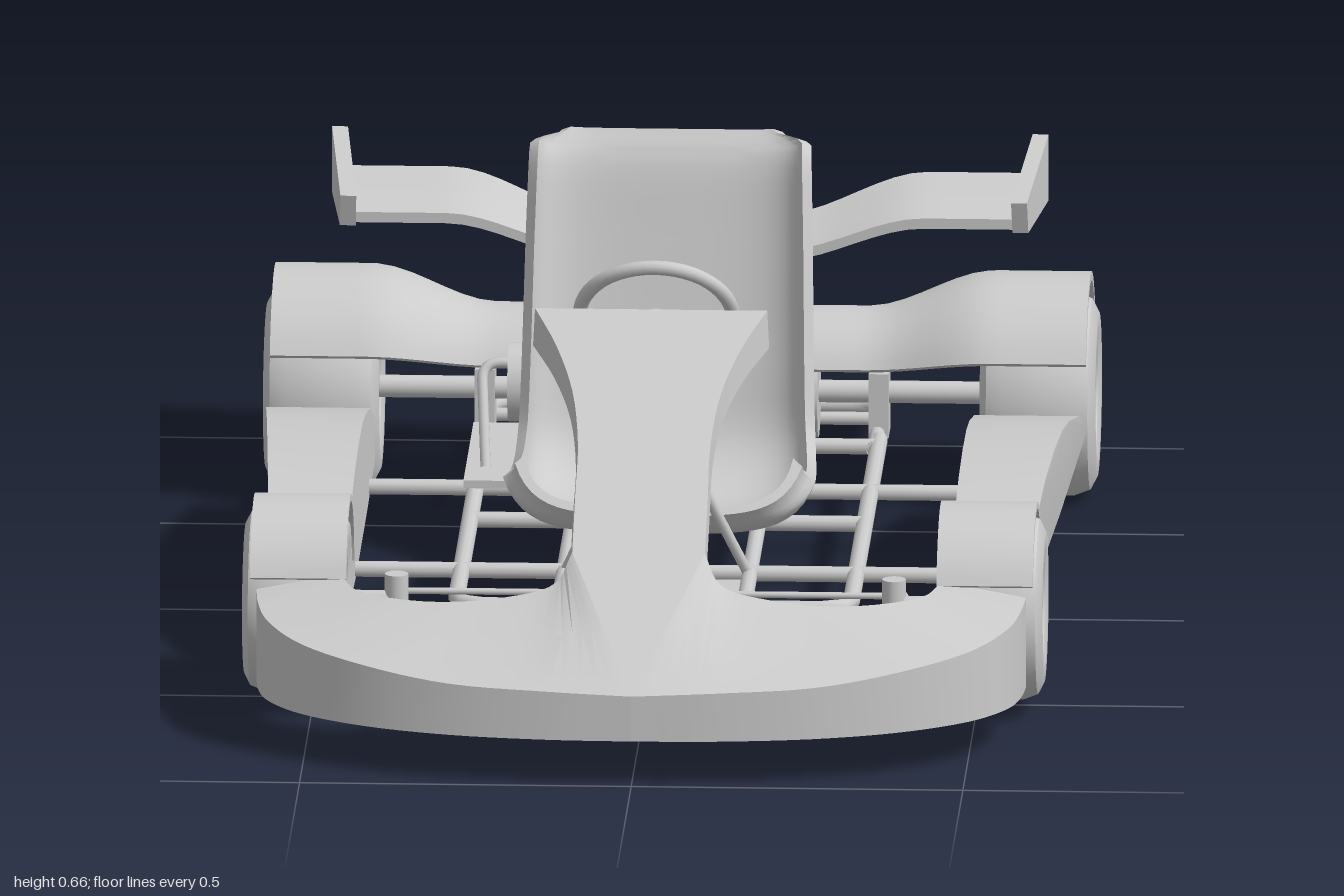
import * as THREE from 'three';
import { toCreasedNormals } from 'three/addons/utils/BufferGeometryUtils.js';

const mat = new THREE.MeshStandardMaterial({ color: 0xcccccc, side: THREE.DoubleSide });
const V = (x, y, z) => new THREE.Vector3(x, y, z);
const { lerp, smoothstep } = THREE.MathUtils;
const curve = pts => new THREE.CatmullRomCurve3(pts.map(p => V(...p)));
const outline = pts => new THREE.Shape(pts.map(p => new THREE.Vector2(...p)));
const axle = (r, len, n = 24) => new THREE.CylinderGeometry(r, r, len, n).rotateZ(Math.PI / 2);

// Skin over a grid of points
function loft(rows) {
  const n = rows[0].length, index = [];
  for (let i = 0; i < rows.length - 1; i++)
    for (let j = 0; j < n - 1; j++) {
      const a = i * n + j, b = a + n;
      index.push(a, b, a + 1, b, b + 1, a + 1);
    }
  const g = new THREE.BufferGeometry().setFromPoints(rows.flat());
  g.setIndex(index);
  return toCreasedNormals(g, 0.6);
}

// Closed thin body between face(0) and face(thickness), both surfaces of (u, v)
function shell(nu, nv, face, thickness) {
  const rows = [], outer = face(0), inner = face(thickness);
  for (let i = -1; i <= nu + 1; i++) {
    const u = Math.min(Math.max(i / nu, 0), 1), end = i < 0 || i > nu;
    const a = [], b = [];
    for (let j = 0; j <= nv; j++) {
      a.push(outer(u, j / nv));
      b.unshift((end ? outer : inner)(u, j / nv));
    }
    rows.push([...a, ...b, a[0].clone()]);
  }
  return loft(rows);
}

// Tube through points, with rounded corners
function pipe(pts, r = 0.012, bend = 0.05) {
  const p = pts.map(a => V(...a)), path = new THREE.CurvePath();
  let from = p[0];
  for (let i = 1; i < p.length - 1; i++) {
    const s = p[i].clone().add(p[i - 1].clone().sub(p[i]).setLength(bend));
    const e = p[i].clone().add(p[i + 1].clone().sub(p[i]).setLength(bend));
    path.add(new THREE.LineCurve3(from, s));
    path.add(new THREE.QuadraticBezierCurve3(s, p[i], e));
    from = e;
  }
  path.add(new THREE.LineCurve3(from, p[p.length - 1]));
  return new THREE.TubeGeometry(path, p.length > 2 ? 70 : 1, r, 10);
}

// Side outline in (z, y), extruded from x towards -x, then its x moved by a rule
function sidePlate(pts, x, depth, rule = x => x) {
  const g = new THREE.ExtrudeGeometry(outline(pts), { depth, bevelEnabled: false });
  g.rotateY(-Math.PI / 2).translate(x, 0, 0);
  const p = g.attributes.position;
  for (let i = 0; i < p.count; i++) p.setX(i, rule(p.getX(i), p.getY(i), p.getZ(i)));
  return toCreasedNormals(g, 0.4);
}

export function createModel() {
  const kart = new THREE.Group();
  kart.name = 'goKart';
  const add = (name, geo, x = 0, y = 0, z = 0, parent = kart) => {
    const m = new THREE.Mesh(geo, mat);
    m.name = name;
    m.position.set(x, y, z);
    parent.add(m);
    return m;
  };
  const addPair = (name, geo, x = 0, y = 0, z = 0) => {
    add(name + 'Left', geo, x, y, z);
    add(name + 'Right', geo, -x, y, z).scale.x = -1;
  };

  // Wheels: tyre and dished rim
  const tyre = [[.5, -.9], [.62, -1], [.8, -1], [.93, -.88], [.99, -.6], [1, 0], [.99, .6], [.93, .88], [.8, 1], [.62, 1], [.5, .9]];
  const rim = [[.16, -.5], [.44, -.4], [.5, -.9], [.53, -.95], [.53, .95], [.5, .9], [.44, .3], [.3, .22], [.27, .4], [.12, .45], [0, .45]];
  for (const [name, x, y, z, R, h] of [['front', .525, .16, .523, .142, .078], ['rear', .54, .155, -.735, .155, .087]])
    for (const [piece, profile] of [['Tyre', tyre], ['Rim', rim]]) {
      const g = new THREE.LatheGeometry(profile.map(([r, w]) => new THREE.Vector2(r * R, w * h)), 40);
      addPair(name + piece, toCreasedNormals(g.rotateZ(-Math.PI / 2), 0.7), x, y, z);
    }
  add('rearAxle', axle(.017, .98), 0, .155, -.735);
  add('brakeDisc', axle(.07, .012), .2, .155, -.735);
  add('sprocket', axle(.075, .012), -.22, .155, -.735);

  // Front fairing: curved bumper sweeping back to the wheels
  const outer = curve([[0, .14, 1], [.13, .145, .995], [.28, .15, .972], [.41, .165, .925], [.51, .18, .855],
    [.56, .195, .78], [.575, .205, .72], [.58, .21, .66]]);
  const inner = curve([[.1, .297, .75], [.125, .255, .775], [.2, .235, .785], [.3, .226, .782], [.38, .225, .755],
    [.43, .225, .71], [.445, .228, .67], [.45, .23, .64]]);
  const top = [], wall = [];
  for (let i = 0; i <= 36; i++) {
    const o = outer.getPoint(i / 36), n = inner.getPoint(i / 36);
    top.push([o, o.clone().lerp(n, .5), n, V(n.x, n.y - .02, n.z)]);
    wall.push([V(o.x, .07, o.z), o]);
  }
  addPair('frontFairingTop', loft(top));
  addPair('frontFairingWall', loft(wall));

  // Upright nose panel with folded sides
  const edge = curve([[.1, 0, .75], [.1, 0, .65], [.1, 0, .56], [.112, 0, .47], [.14, 0, .39], [.175, 0, .325]]);
  const panel = [[V(0, .14, 1), V(0, .14, 1), V(.1, .297, .75), V(.1, .277, .75)]];
  for (let i = 0; i <= 20; i++) {
    const { x, z } = edge.getPoint(i / 20), h = .14 + .627 * (1 - z);
    panel.push([V(0, h, z), V(x * .5, h, z), V(x, h, z), V(x + .003, h - lerp(.02, .058, i / 20), z)]);
  }
  addPair('nosePanel', loft(panel));

  // Front mudguards
  const arc = (x, y, z, ry, rz, a) => V(x, y + ry * Math.sin(a), z + rz * Math.cos(a));
  const guard = t => (u, v) => arc(lerp(.445, .59, u), .16, .523, .158 - t, .158 - t, lerp(.45, 3, v));
  addPair('frontMudguard', shell(1, 24, guard, .011));

  // Rear bodywork: arches over both wheels joined by a lower centre
  const rear = t => (u, v) => {
    const x = lerp(-.615, .615, u), f = smoothstep(Math.abs(x), .28, .47);
    return arc(x, .155, -.735, lerp(.13, .185, f) - t, lerp(.125, .185, f) - t, lerp(.5, 3, v));
  };
  add('rearBodywork', shell(48, 24, rear, .014));

  // Side pods, wider towards the back
  addPair('sidePod', sidePlate([[.357, .096], [.352, .2], [.26, .235], [.13, .256], [0, .263], [-.13, .26], [-.24, .245],
    [-.4, .21], [-.537, .155], [-.537, .09], [-.3, .082], [.1, .08]], .575, .12,
  (x, y, z) => x > .5 ? x + .045 * (.36 - z) / .9 - (y < .1 ? .02 : 0) : x));

  // Bucket seat: raised rims along a bent profile
  const spine = curve([[0, .2, .12], [0, .165, .08], [0, .14, -.06], [0, .145, -.17], [0, .2, -.245], [0, .32, -.285],
    [0, .5, -.33], [0, .62, -.362], [0, .655, -.385]]);
  const seat = t => (u, v) => {
    const p = spine.getPoint(u), d = spine.getTangent(u), s = 2 * v - 1;
    const corner = 1 - .22 * smoothstep(u, .9, 1) - .1 * (1 - smoothstep(u, 0, .1));
    const bow = Math.sin(s * Math.PI / 2) * .75 + s * .25;
    const rise = Math.abs(s) ** 3.5 * lerp(.085, .05, u) * (1 - .9 * smoothstep(u, .85, 1)) - t;
    return V(lerp(.225, .195, u) * corner * bow + t * s ** 3, p.y - d.z * rise, p.z + d.y * rise);
  };
  add('seat', shell(40, 28, seat, .014));

  // Rear wing with swept centre, end plates and stays
  const wing = t => (u, v) => {
    const x = lerp(-.515, .515, u), f = smoothstep(Math.abs(x), .14, .36);
    return V(x, lerp(.352, .405, f) + .03 * v * v - t + .01 * Math.sin(Math.PI * v), lerp(-.812, lerp(-.915, -.972, f), v));
  };
  add('rearWing', shell(40, 8, wing, .016));
  addPair('wingEndPlate', sidePlate([[-.775, .44], [-1, .488], [-1, .385], [-.79, .39]], .528, .024,
    (x, y, z) => x - (z + .88) * .1));
  addPair('wingStay', sidePlate([[-.78, .26], [-.82, .35], [-.88, .37], [-.85, .24]], .12, .014));

  // Tubular frame, steering linkage and pedals: single tubes, then mirrored ones
  const y = .1;
  for (const [name, ...args] of [
    ['mainFrame', [[-.295, y, -.66], [-.295, y, .33], [.3, y, .33], [.3, y, -.66]], .013],
    ['rearBumperLoop', [[-.295, y, -.6], [-.295, .09, -.9], [.295, .09, -.9], [.295, y, -.6]]],
    ['rearBumperBar', [[-.295, .09, -.82], [.295, .09, -.82]], .01],
    ['seatFrontTube', [[-.46, y, .125], [.46, y, .125]]],
    ['seatMiddleTube', [[-.3, y, -.17], [.3, y, -.17]]],
    ['seatRearTube', [[-.46, y, -.355], [.46, y, -.355]]],
    ['rearCrossTube', [[-.3, y, -.62], [.3, y, -.62]]],
    ['frontCrossTube', [[-.3, .11, .73], [.3, .11, .73]], .01],
    ['tieRod', [[-.385, .15, .435], [.385, .15, .435]], .005],
    ['steeringColumn', [[0, .506, .143], [0, .26, .46]], .011],
    ['columnSleeve', [[0, .43, .235], [0, .375, .31]], .018],
    ['columnLink', [[0, .26, .46], [0, .15, .435]], .01],
    ['motorCable', [[-.2, .27, -.45], [-.29, .27, -.45], [-.28, .13, -.36]], .008, .03],
  ]) add(name, pipe(...args));
  for (const [name, ...args] of [
    ['innerRail', [[.14, y, -.62], [.14, y, .45]]],
    ['frontDiagonal', [[.13, y, .38], [.37, .13, .61]]],
    ['frontBrace', [[.37, .14, .5], [.14, y, .74], [.14, y, .93]], .012, .03],
    ['steeringArm', [[.375, .15, .52], [.385, .15, .435]], .008],
    ['pedalRod', [[.38, .16, .5], [.3, .13, .77]], .004],
    ['pedal', [[.2, y, .7], [.2, .2, .74], [.28, .2, .74]], .008, .02],
    ['columnStrut', [[.14, y, .14], [0, .42, .27]], .008],
    ['lowerColumnStrut', [[.12, y, .55], [0, .27, .45]], .008],
  ]) addPair(name, pipe(...args));
  addPair('axleBearing', new THREE.BoxGeometry(.03, .1, .06), .297, .14, -.735);
  addPair('stubAxle', axle(.014, .13, 12), .435, .16, .523);
  addPair('kingpin', new THREE.CylinderGeometry(.018, .018, .09, 12), .375, .155, .523);

  // Floor pan
  const half = [[.14, .1], [.14, .33], [.33, .52], [.19, .76]];
  const floor = outline([...half, ...half.map(([a, b]) => [-a, b]).reverse()]);
  add('floorPan', new THREE.ExtrudeGeometry(floor, { depth: .008, bevelEnabled: false }).rotateX(Math.PI / 2), 0, .092, 0);

  // Steering wheel, tilted to face the seat
  const steer = new THREE.Group();
  steer.name = 'steeringWheel';
  steer.position.set(0, .506, .143);
  steer.rotation.x = Math.atan2(-.6, -.8);
  kart.add(steer);
  add('steeringRim', new THREE.TorusGeometry(.115, .011, 12, 48), 0, 0, 0, steer);
  add('steeringHub', new THREE.CylinderGeometry(.028, .034, .03, 24).rotateX(Math.PI / 2), 0, 0, -.025, steer);
  add('columnBoss', new THREE.SphereGeometry(.032, 20, 14), 0, 0, -.07, steer);
  for (const a of [0, Math.PI / 2, Math.PI])
    add('steeringSpoke', pipe([[0, 0, -.02], [.113 * Math.cos(a), .113 * Math.sin(a), 0]], .009), 0, 0, 0, steer);

  // Motor on its mounting plate
  add('motorPlate', new THREE.BoxGeometry(.44, .012, .34), -.09, .125, -.45);
  add('motorBody', axle(.072, .22, 32), -.09, .25, -.485);
  for (const x of [-.2, .03]) add('motorEndCap', axle(.077, .022, 32), x, .25, -.485);
  add('motorShaft', axle(.018, .08, 16), .06, .25, -.485);
  add('motorPulley', axle(.035, .02, 20), .085, .25, -.485);
  add('motorBracket', new THREE.BoxGeometry(.16, .08, .1), -.09, .16, -.485);
  add('terminalBox', new THREE.BoxGeometry(.1, .03, .05), -.09, .32, -.5);
  add('chainGuard', axle(.06, .03, 24), -.235, .235, -.47);
  return kart;
}
